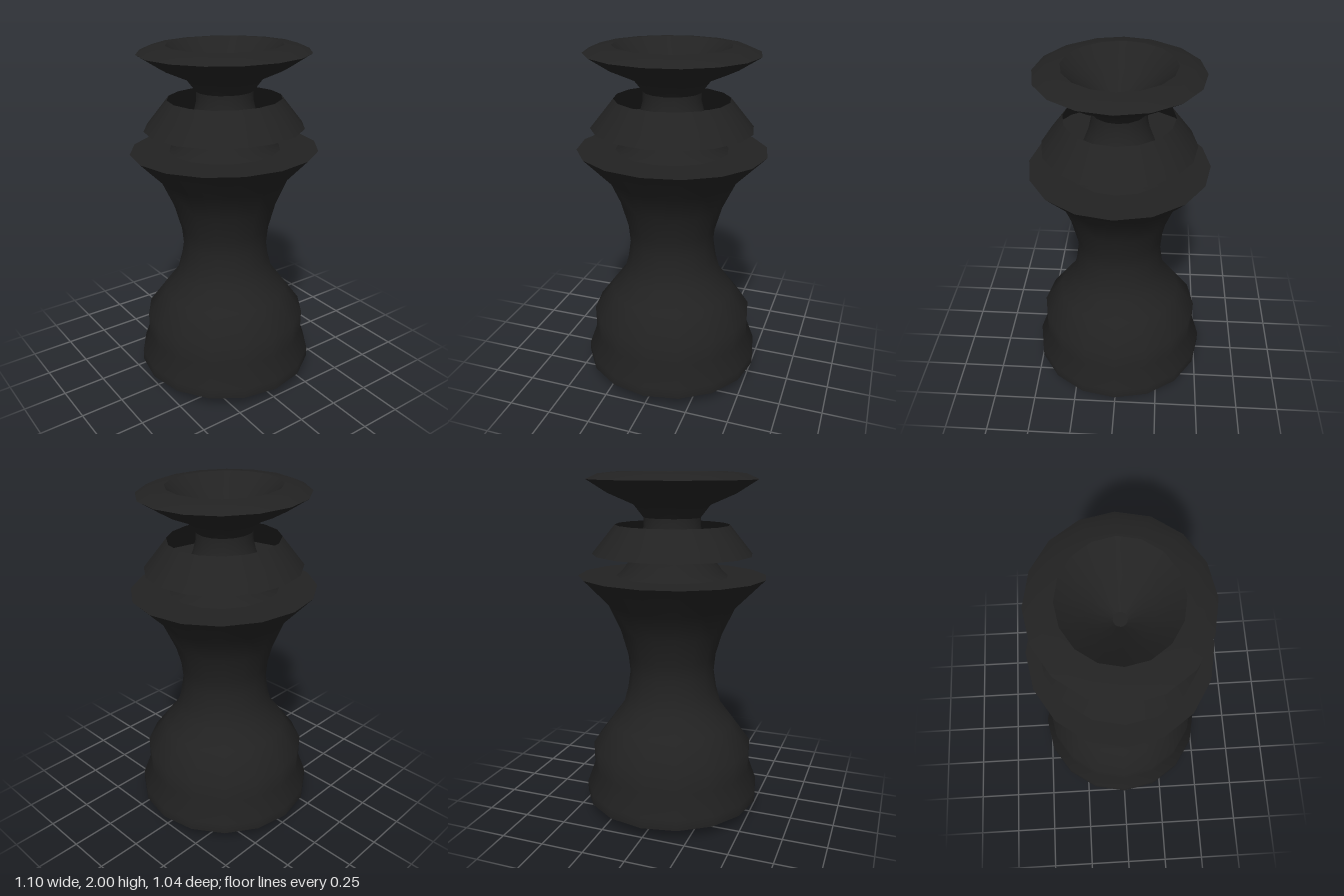
import * as THREE from 'three';

const SIDES = 16;
const material = new THREE.MeshStandardMaterial({ color: 0x222222, side: THREE.DoubleSide });

// The round base turns slightly oval (narrower in z) towards the top
const depthScale = (y) => 0.99 - 0.065 * THREE.MathUtils.smoothstep(y, 0.9, 1.3);

// One smooth turned surface; separate surfaces keep the edges between them sharp
function turned(name, profile) {
  const geometry = new THREE.LatheGeometry(profile.map(([r, y]) => new THREE.Vector2(r, y)), SIDES);
  const position = geometry.attributes.position;
  for (let i = 0; i < position.count; i++) {
    position.setZ(i, position.getZ(i) * depthScale(position.getY(i)));
  }
  const mesh = new THREE.Mesh(geometry, material);
  mesh.name = name;
  return mesh;
}

function part(name, ...meshes) {
  const group = new THREE.Group();
  group.name = name;
  group.add(...meshes);
  return group;
}

export function createModel() {
  const model = new THREE.Group();
  model.name = 'chessPiece';

  // Foot, waisted stem and flared collar
  model.add(part('body',
    turned('underside', [[0, 0], [0.44, 0.03], [0.525, 0.07]]),
    turned('stem', [
      [0.525, 0.07], [0.525, 0.13], [0.478, 0.26], [0.48, 0.39], [0.37, 0.54],
      [0.292, 0.645], [0.265, 0.745], [0.25, 0.845], [0.26, 0.945],
      [0.304, 1.095], [0.378, 1.25], [0.548, 1.42],
    ]),
    turned('collarTop', [[0.548, 1.42], [0.325, 1.42]]),
  ));

  // Neck running up through the hollow skirt ring
  model.add(turned('neck', [
    [0.325, 1.42], [0.29, 1.45], [0.22, 1.545], [0.18, 1.64], [0.165, 1.7], [0.165, 1.75],
  ]));

  // Sloping ring, open at the top and closed by a floor
  model.add(part('skirtRing',
    turned('skirtFloor', [[0.21, 1.545], [0.465, 1.545]]),
    turned('skirtWall', [[0.465, 1.545], [0.33, 1.71]]),
  ));

  // Flared cup with a bevelled rim and a hollow bowl
  model.add(part('cup',
    turned('cupOutside', [[0.165, 1.75], [0.22, 1.82], [0.37, 1.885], [0.49, 1.96]]),
    turned('cupRim', [[0.49, 1.96], [0.42, 1.99], [0.33, 2]]),
    turned('cupBowl', [[0.33, 2], [0.185, 1.885], [0.04, 1.78]]),
    turned('cupBottom', [[0.04, 1.78], [0, 1.78]]),
  ));

  return model;
}
